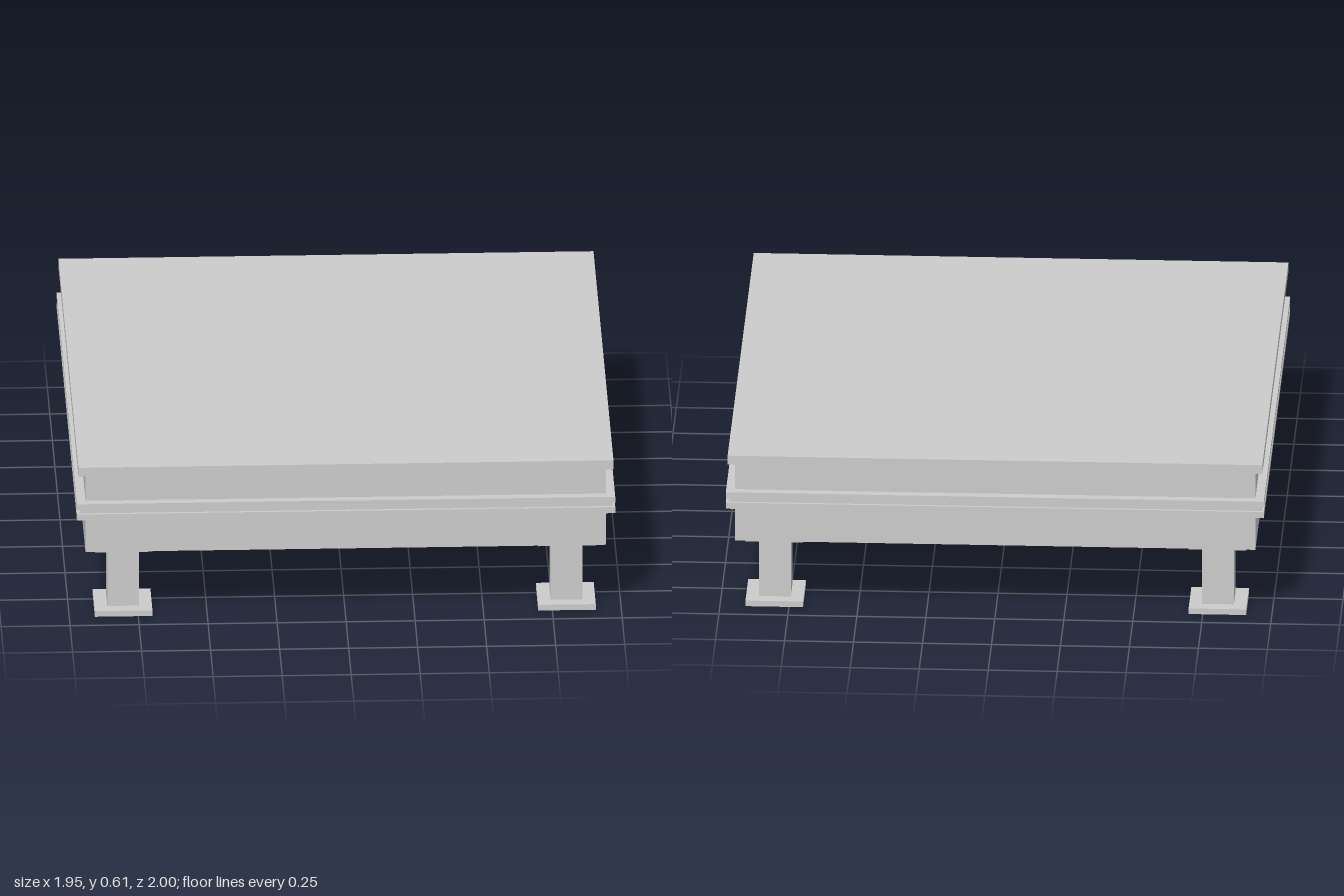
import * as THREE from 'three';

export function createModel() {
  const model = new THREE.Group();
  const material = new THREE.MeshStandardMaterial({ color: 0xcccccc, flatShading: true });

  // Box centred on x and z, spanning y0 to y1
  function slab(parent, name, width, depth, y0, y1) {
    const mesh = new THREE.Mesh(new THREE.BoxGeometry(width, y1 - y0, depth), material);
    mesh.name = name;
    mesh.position.y = (y0 + y1) / 2;
    parent.add(mesh);
  }

  // Stacked platform, bottom to top
  slab(model, 'lowerBody', 1.886, 1.934, 0.274, 0.411);
  slab(model, 'lowerFlange', 1.95, 2, 0.411, 0.435);
  slab(model, 'flangeGasket', 1.93, 1.98, 0.435, 0.452);
  slab(model, 'upperFlange', 1.95, 2, 0.452, 0.475);
  slab(model, 'upperBody', 1.886, 1.934, 0.475, 0.578);
  slab(model, 'topPlate', 1.938, 1.976, 0.578, 0.613);

  // Four legs, each a square post between two plates
  for (const [side, sx] of [['Left', 1], ['Right', -1]]) {
    for (const [end, sz] of [['front', 1], ['back', -1]]) {
      const leg = new THREE.Group();
      leg.name = `${end}${side}Leg`;
      leg.position.set(sx * 0.803, 0, sz * 0.815);
      slab(leg, 'footPlate', 0.209, 0.209, 0, 0.022);
      slab(leg, 'post', 0.115, 0.115, 0.022, 0.252);
      slab(leg, 'mountingPlate', 0.209, 0.209, 0.252, 0.274);
      model.add(leg);
    }
  }
  return model;
}
